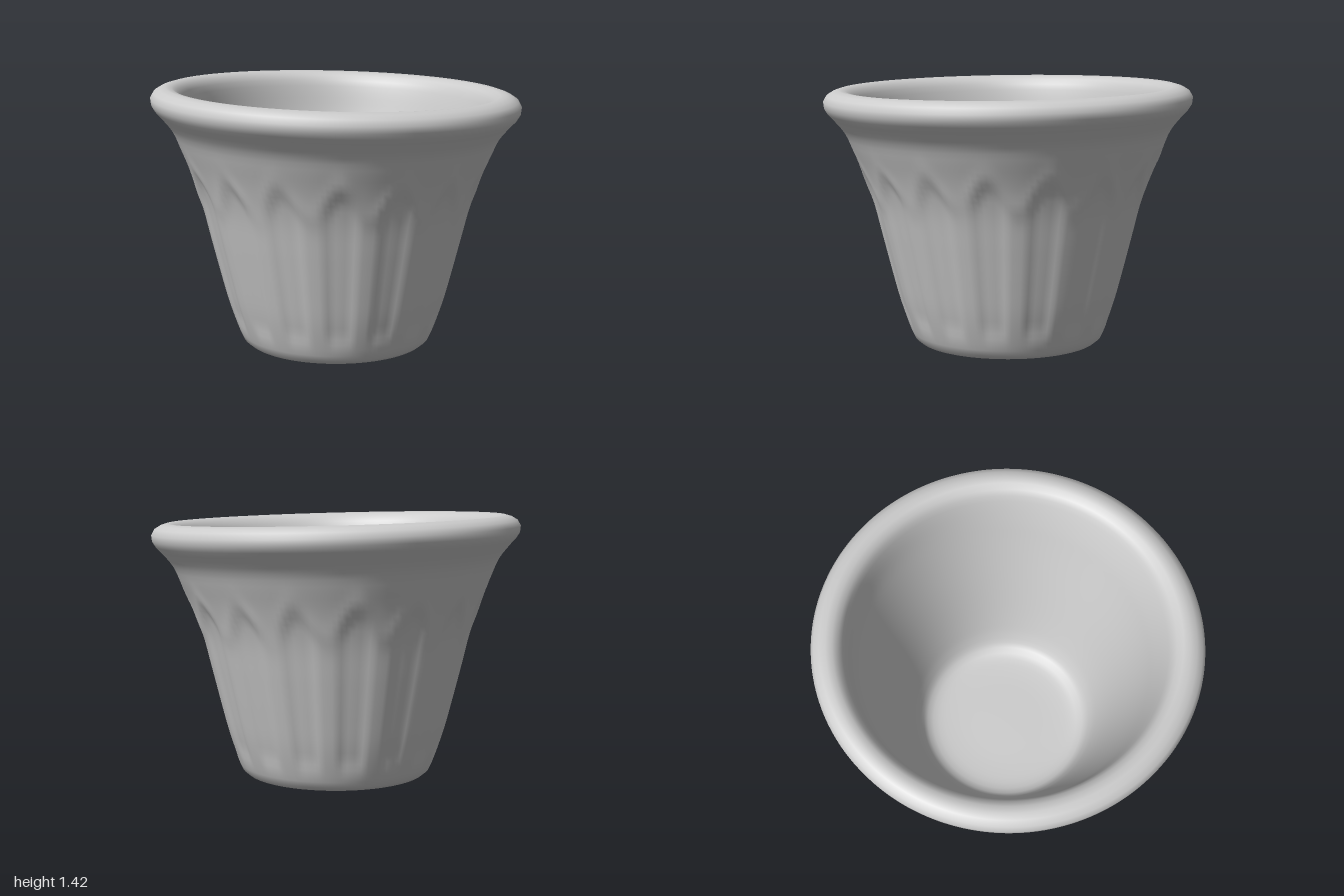
import * as THREE from 'three';
import { mergeVertices } from 'three/addons/utils/BufferGeometryUtils.js';

const ROWS = 110, SIDES = 192, FLUTES = 16;
const smooth = THREE.MathUtils.smoothstep;

// Closed section: underside, outer wall, rolled rim, inner wall, floor
const PROFILE = [
  [0, 0.025], [0.3, 0.022], [0.44, 0.012], [0.49, 0.005], [0.515, 0.02],
  [0.55, 0.1], [0.6, 0.25], [0.645, 0.42], [0.69, 0.6], [0.74, 0.8],
  [0.795, 0.96], [0.845, 1.08], [0.885, 1.17], [0.945, 1.245], [0.985, 1.29],
  [0.998, 1.335], [0.975, 1.375], [0.91, 1.4], [0.85, 1.375], [0.815, 1.3],
  [0.76, 1.1], [0.66, 0.75], [0.55, 0.36], [0.495, 0.2], [0.44, 0.13],
  [0.3, 0.11], [0, 0.11],
];

function potGeometry() {
  const curve = new THREE.SplineCurve(PROFILE.map(([r, y]) => new THREE.Vector2(r, y)));
  const points = curve.getSpacedPoints(ROWS);
  points[0].x = points[ROWS].x = 0;
  const rimRow = points.reduce((best, p, i) => (p.y > points[best].y ? i : best), 0);
  const geo = new THREE.LatheGeometry(points, SIDES);
  const pos = geo.attributes.position;

  for (let i = 0; i < pos.count; i++) {
    const row = i % (ROWS + 1);
    let x = pos.getX(i), y = pos.getY(i), z = pos.getZ(i);
    const inner = row > rimRow;
    const angle = Math.atan2(x, z);

    if (!inner) {
      // Shallow flutes with arched tops, and a soft leafy band above them
      const wave = Math.cos(FLUTES * angle);
      const archTop = 0.88 + 0.09 * wave;
      const flute = smooth(y, 0.08, 0.2) * (1 - smooth(y, archTop - 0.06, archTop + 0.04));
      const band = Math.exp(-(((y - archTop - 0.04) / 0.06) ** 2));
      const ripple = Math.sin(7 * angle + 14 * y) * Math.sin(19 * angle - 9 * y);
      const d = -0.012 * flute * smooth(wave, -0.6, 0.5) + 0.004 * band + 0.003 * band * ripple;
      const r = Math.hypot(x, z);
      if (r > 0.4) {
        x *= 1 + d / r;
        z *= 1 + d / r;
      }
    } else {
      // The opening sits a little off centre
      const shift = smooth(row, rimRow, rimRow + 10);
      x -= 0.025 * shift;
      z -= 0.01 * shift;
    }
    // Slightly slanting rim
    y -= x * 0.027 * smooth(y, 0.5, 1.3);
    pos.setXYZ(i, x, y, z);
  }
  geo.deleteAttribute('normal');
  geo.deleteAttribute('uv');
  const merged = mergeVertices(geo, 1e-5);
  merged.computeVertexNormals();
  return merged;
}

export function createModel() {
  const group = new THREE.Group();
  group.name = 'pot';
  const body = new THREE.Mesh(potGeometry(), new THREE.MeshStandardMaterial({ color: 0xcccccc }));
  body.name = 'flutedBody';
  group.add(body);
  return group;
}
